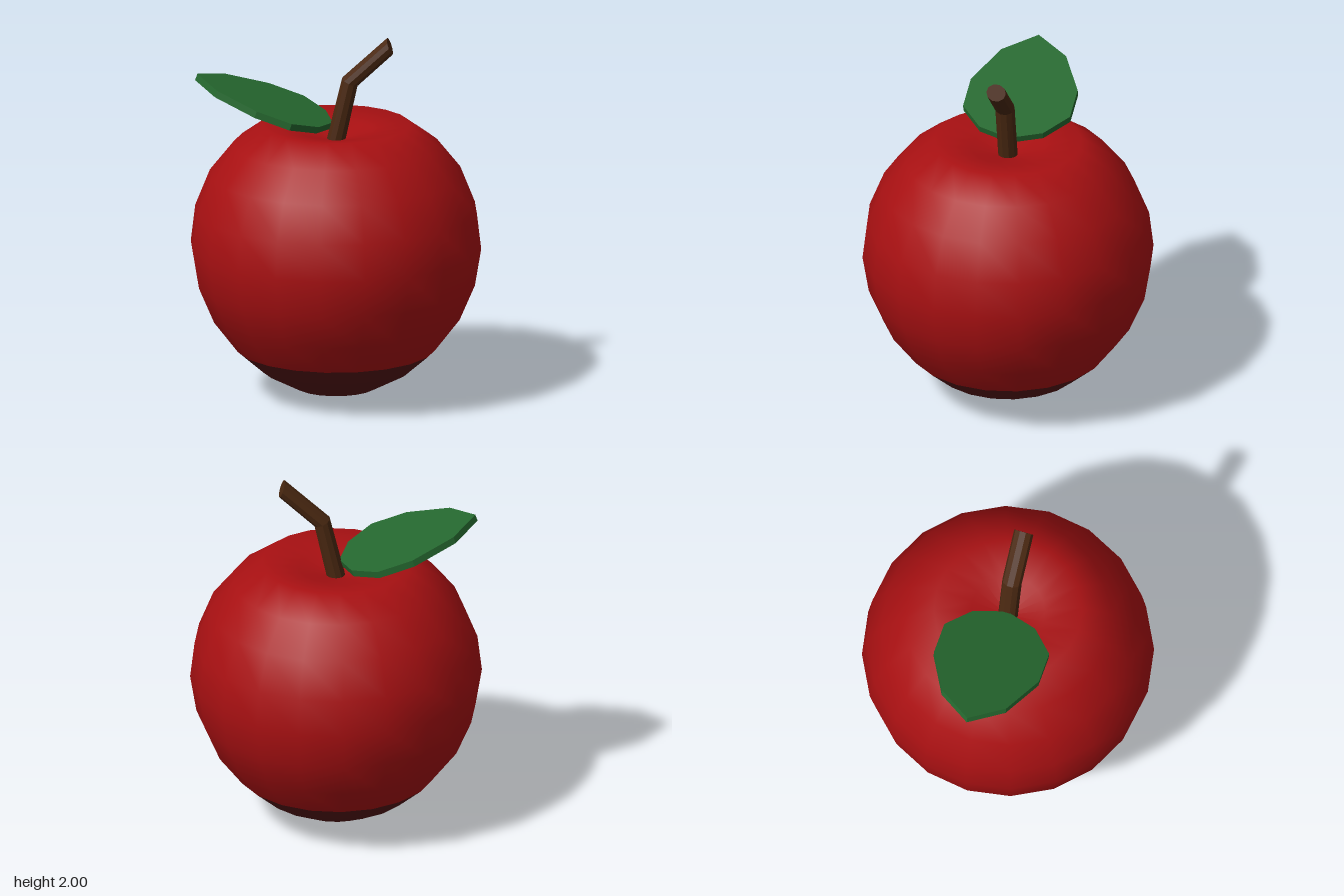
import * as THREE from 'three';

const SIDES = 20;

function flat(geometry) {
  const g = geometry.index ? geometry.toNonIndexed() : geometry;
  g.computeVertexNormals();
  return g;
}

export function createModel() {
  const paint = (name, color) => {
    const m = new THREE.MeshStandardMaterial({ color });
    m.name = name;
    return m;
  };
  const red = paint('skin red', 0xa81012);
  const maroon = paint('dark maroon', 0x541416);
  const olive = paint('calyx brown', 0x40300f);
  const brown = paint('stem brown', 0x4a2811);
  const green = paint('leaf green', 0x25682f);

  const model = new THREE.Group();
  model.name = 'apple';
  const add = (name, geometry, material) => {
    const mesh = new THREE.Mesh(geometry, material);
    mesh.name = name;
    model.add(mesh);
    return mesh;
  };

  // Fruit: one profile from the bottom pole up into the dimple, split by colour
  const profile = [
    [0, 0], [0.22, 0.053], [0.4, 0.148], [0.54, 0.27], [0.67, 0.44], [0.753, 0.635], [0.787, 0.84],
    [0.763, 1.04], [0.683, 1.24], [0.555, 1.4], [0.4, 1.512], [0.2, 1.475], [0, 1.42],
  ].map(([r, y]) => new THREE.Vector2(r, y));
  const band = (from, to) => new THREE.LatheGeometry(profile.slice(from, to + 1), SIDES);
  add('calyx', band(0, 1), olive);
  add('lowerSkin', band(1, 3), maroon);
  add('skin', band(3, 12), red);

  // Stem: three rings, each with a centre and a half-width vector in the xy plane
  const rings = [
    { c: [0.0, 1.425], h: [0.05, -0.011] },
    { c: [0.075, 1.751], h: [0.043, -0.021] },
    { c: [0.292, 1.955], h: [0.016, -0.045] },
  ];
  const stem = new THREE.CylinderGeometry(1, 1, 2, 10, 2);
  const p = stem.attributes.position;
  for (let i = 0; i < p.count; i++) {
    const { c, h } = rings[Math.round(p.getY(i)) + 1];
    const x = p.getX(i);
    p.setXYZ(i, c[0] + x * h[0], c[1] + x * h[1], p.getZ(i) * 0.054);
  }
  add('stem', flat(stem), brown);

  // Leaf: a flat mirrored outline, extruded and tilted upward from the stem
  const half = [[0.06, 0.175], [0.2, 0.295], [0.4, 0.295], [0.64, 0.18]];
  const outline = [
    [0, 0], ...half, [0.775, 0], ...half.map(([s, w]) => [s, -w]).reverse(),
  ].map(([s, w]) => new THREE.Vector2(-s, w));
  const leaf = new THREE.ExtrudeGeometry(new THREE.Shape(outline), { depth: 0.038, bevelEnabled: false });
  leaf.rotateX(-Math.PI / 2);
  leaf.rotateZ(-0.328);
  add('leaf', flat(leaf), green).position.set(-0.03, 1.485, 0);

  return model;
}
